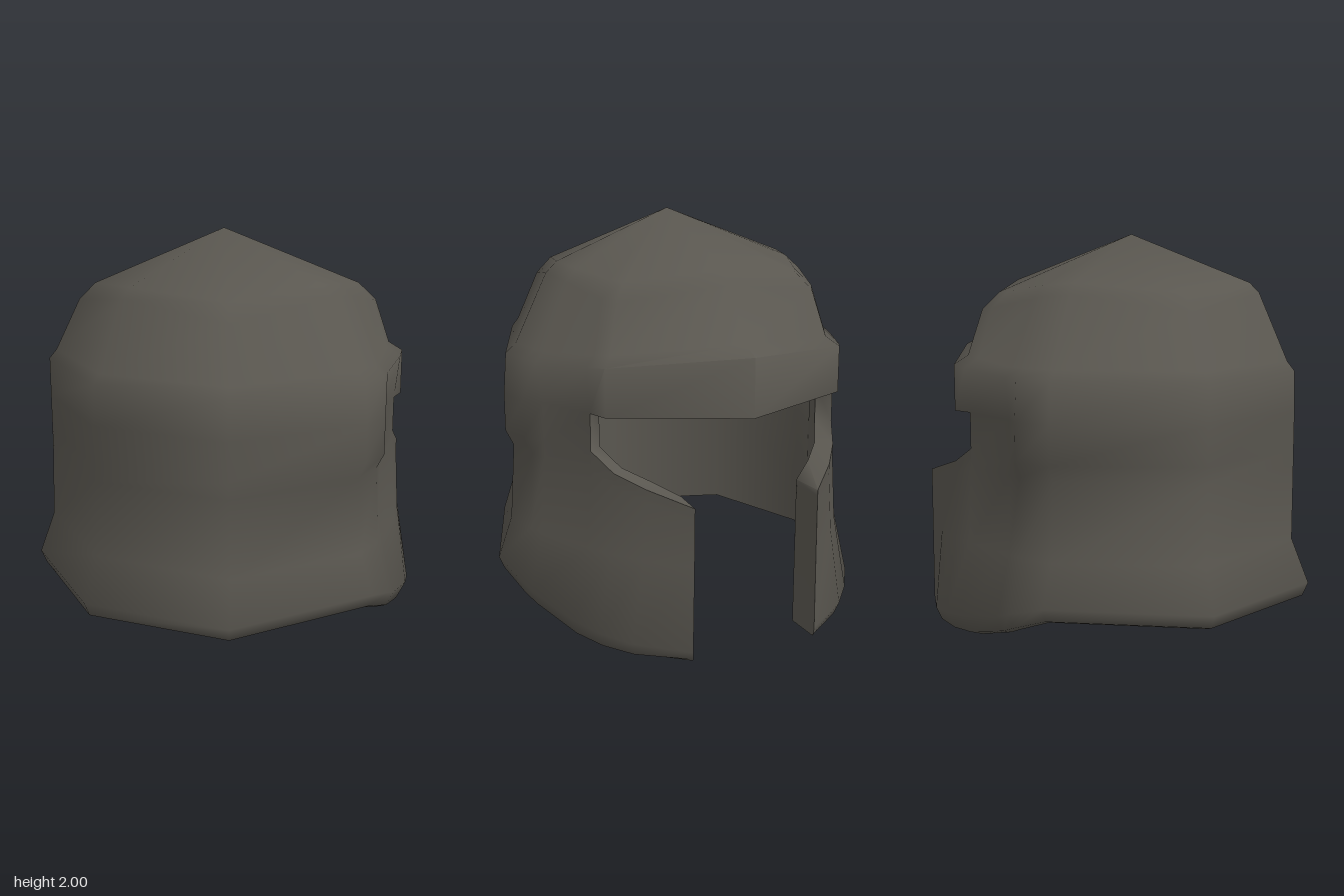
import * as THREE from 'three';
import { toCreasedNormals } from 'three/addons/utils/BufferGeometryUtils.js';

// Skin a grid of points: columns run along the wall, rows run upwards
function grid(out, cols, flip = false) {
  for (let i = 0; i + 1 < cols.length; i++) {
    for (let j = 0; j + 1 < cols[i].length; j++) {
      const a = cols[i][j], b = cols[i + 1][j], c = cols[i + 1][j + 1], d = cols[i][j + 1];
      const quad = flip ? [a, c, b, a, d, c] : [a, b, c, a, c, d];
      quad.forEach((p) => out.push(...p));
    }
  }
}

// Half of the columns (back to front) becomes the full loop, mirrored in z
function mirrored(half) {
  const other = half.slice(1).reverse().map((col) => col.map(([x, y, z]) => [x, y, -z]));
  return [...other, ...half];
}

const THICK = 0.9; // inner wall as a fraction of the outer plan
const rim = (outer, inner, row) => outer.map((col, i) => [col.at(row), inner[i].at(row)]);

// Neck guard, ear bulges and cheek plates
function lowerShell(out) {
  // wall x, z | flared x, z | bottom y, flare y, top y | bulge z, hem scale, inner x and z scale
  const table = [
    [-0.91, 0, -1, 0, 0.175, 0.26, 1.13, 0, 0.93, THICK, THICK],
    [-0.67, 0.65, -0.73, 0.715, 0.185, 0.265, 1.13, 0.65, 0.93, THICK, THICK],
    [0.01, 0.86, 0.02, 0.96, 0.2, 0.28, 1.13, 0.9, 0.93, THICK, THICK],
    [0.2, 0.82, 0.22, 0.91, 0.125, 0.22, 1.13, 0.865, 0.92, THICK, THICK],
    [0.27, 0.785, 0.3, 0.88, 0.09, 0.19, 1.13, 0.785, 0.9, THICK, THICK],
    [0.555, 0.65, 0.56, 0.765, 0.015, 0.13, 1.13, 0.65, 0.88, THICK, THICK],
    [0.555, 0.65, 0.56, 0.765, 0.015, 0.13, 0.95, 0.65, 0.88, THICK, THICK],
    [0.68, 0.585, 0.7, 0.675, 0.0, 0.1, 0.87, 0.585, 0.9, 0.9, 0.89],
    [0.82, 0.48, 0.83, 0.56, 0.0, 0.08, 0.82, 0.48, 0.93, 0.89, 0.86],
    [0.985, 0.317, 0.985, 0.322, 0.015, 0.06, 0.76, 0.317, 0.99, 0.82, 0.96],
  ];
  const outerHalf = [], innerHalf = [];
  for (const [x, z, fx, fz, yb, yf, yt, bz, hem, ix, iz] of table) {
    const roll = hem + 0.6 * (1 - hem);
    const col = [
      [fx * hem, yb, fz * hem],
      [fx * roll, yb + 0.2 * (yf - yb), fz * roll],
      [fx, yf, fz],
      [x, 0.48, z + 0.25 * (fz - z)],
      [x, Math.min(0.86, yt - 0.06), z],
      [x, Math.min(0.94, yt - 0.03), bz],
      [x, yt, bz],
    ];
    outerHalf.push(col);
    innerHalf.push(col.map(([, y], j) => [x * ix, j ? y : yb + 0.01, (j > 4 ? bz : z) * iz]));
  }
  const outer = mirrored(outerHalf), inner = mirrored(innerHalf);
  grid(out, outer);
  grid(out, inner, true);
  // hem, then eye slot sills and cheek tops, then cheek ends
  const top = rim(outer, inner, -1);
  grid(out, rim(outer, inner, 0), true);
  grid(out, top.slice(0, 5));
  grid(out, top.slice(-5));
  grid(out, [outer.at(-1), inner.at(-1)]);
  grid(out, [outer[0], inner[0]], true);
}

// Brow band and faceted dome, closed all the way round
function crown(out) {
  // bottom x, z | top x, z | front rise | base scale | lower shoulder scale, y | upper shoulder scale, y
  const table = [
    [-0.91, 0, -0.905, 0, 0, 0.96, 0.795, 1.71, 0.74, 1.76],
    [-0.67, 0.65, -0.67, 0.65, 0, 0.96, 0.825, 1.635, 0.735, 1.72],
    [0.01, 0.9, 0.01, 0.885, 0, 0.94, 0.755, 1.71, 0.69, 1.765],
    [0.2, 0.865, 0.2, 0.845, 0, 0.94, 0.765, 1.7, 0.695, 1.755],
    [0.27, 0.785, 0.27, 0.815, 0, 0.94, 0.78, 1.69, 0.705, 1.75],
    [0.555, 0.65, 0.57, 0.67, 0.02, 0.92, 0.83, 1.64, 0.73, 1.72],
    [0.66, 0.615, 0.66, 0.615, 0.03, 0.92, 0.835, 1.63, 0.735, 1.715],
    [0.94, 0, 0.935, 0, 0.08, 0.9, 0.72, 1.7, 0.655, 1.765],
  ];
  const half = table.map(([bx, bz, x, z, rise, base, s1, y1, s2, y2]) => [
    [bx, 1.13, bz],
    [x, 1.33 + rise, z],
    [x * base, 1.375 + rise, z * base],
    [x * s1, y1, z * s1],
    [x * s2, y2, z * s2],
    [-0.04, 2, 0],
  ]);
  const drop = [0, 0, 0, 0.06, 0.08, 0.1];
  const outer = mirrored(half);
  const inner = outer.map((col) => col.map(([x, y, z], j) => [x * THICK, y - drop[j], z * THICK]));
  grid(out, outer);
  grid(out, inner, true);
  // underside of the brow above the eye slot
  const soffit = rim(outer, inner, 0);
  grid(out, soffit.slice(0, 3), true);
  grid(out, soffit.slice(-3), true);
}

export function createModel() {
  const metal = new THREE.MeshStandardMaterial({ color: 0x5a5750 });
  metal.name = 'darkMetal';

  // One continuous skin, so the shading flows from the dome into the guards
  const points = [];
  lowerShell(points);
  crown(points);
  const geometry = new THREE.BufferGeometry();
  geometry.setAttribute('position', new THREE.Float32BufferAttribute(points, 3));
  const shell = new THREE.Mesh(toCreasedNormals(geometry, 1.2), metal);
  shell.name = 'helmetShell';
  shell.rotation.y = -0.06; // the face opening sits slightly off the x axis

  const model = new THREE.Group();
  model.name = 'helmet';
  model.add(shell);
  return model;
}
